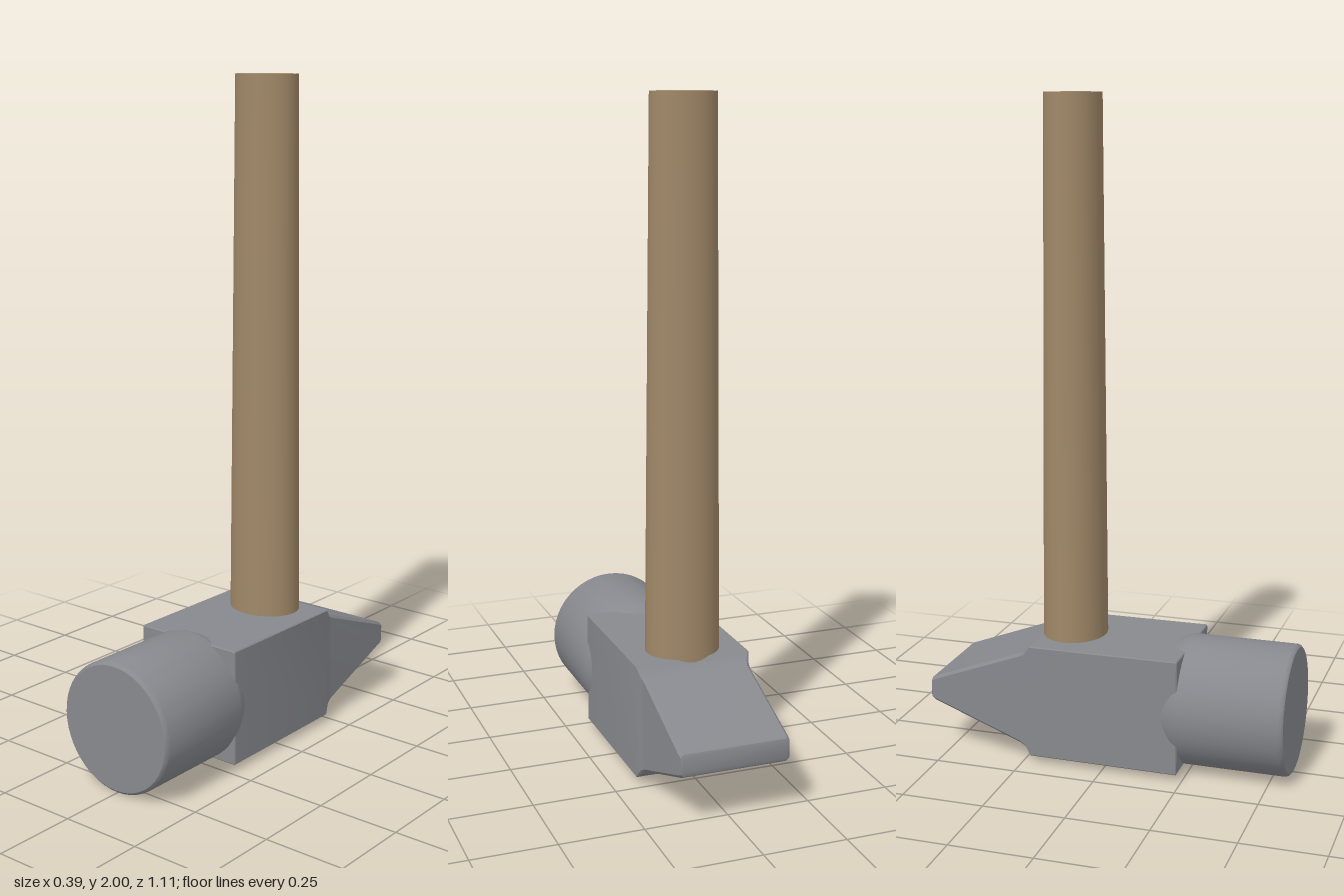
import * as THREE from 'three';
import { toCreasedNormals } from 'three/addons/utils/BufferGeometryUtils.js';

const CENTER_Y = 0.198;

// Lofts chamfered rectangles along z; sections run back to front as [z, halfWidth, halfHeight, chamfer]
function loftRectangles(sections) {
  const positions = [];
  const index = [];
  const n = 8;
  for (const [z, w, h, c] of sections) {
    const ring = [
      [w, -h + c], [w, h - c], [w - c, h], [-w + c, h],
      [-w, h - c], [-w, -h + c], [-w + c, -h], [w - c, -h],
    ];
    for (const [x, y] of ring) positions.push(x, y, z);
  }
  const last = (sections.length - 1) * n;
  for (let s = 0; s < last; s += n) {
    for (let i = 0; i < n; i++) {
      const j = (i + 1) % n;
      index.push(s + i, s + j, s + n + j, s + i, s + n + j, s + n + i);
    }
  }
  for (let i = 1; i < n - 1; i++) {
    index.push(0, i + 1, i, last, last + i, last + i + 1);
  }
  const geometry = new THREE.BufferGeometry();
  geometry.setAttribute('position', new THREE.Float32BufferAttribute(positions, 3));
  geometry.setIndex(index);
  return toCreasedNormals(geometry, 0.45);
}

export function createModel() {
  const steel = new THREE.MeshStandardMaterial({ color: 0x88898e });
  const wood = new THREE.MeshStandardMaterial({ color: 0xa08868 });
  const model = new THREE.Group();
  model.name = 'hammer';

  const head = new THREE.Group();
  head.name = 'head';
  head.position.y = CENTER_Y;
  model.add(head);

  // Square middle block running into the wedge-shaped peen
  const block = new THREE.Mesh(loftRectangles([
    [-0.555, 0.159, 0.025, 0.006],
    [-0.552, 0.164, 0.033, 0.008],
    [-0.543, 0.166, 0.039, 0.009],
    [-0.265, 0.166, 0.144, 0.009],
    [-0.245, 0.170, 0.153, 0.007],
    [-0.225, 0.178, 0.175, 0.003],
    [0.232, 0.178, 0.177, 0.003],
    [0.235, 0.175, 0.174, 0.003],
  ]), steel);
  block.name = 'blockAndPeen';
  head.add(block);

  // Round striking face with a softened rim and a flared neck
  const profile = [
    [0, 0.17], [0.174, 0.17], [0.177, 0.185], [0.184, 0.2], [0.192, 0.215],
    [0.197, 0.232], [0.197, 0.542], [0.195, 0.549], [0.188, 0.555], [0, 0.555],
  ].map(([r, z]) => new THREE.Vector2(r, z));
  const faceGeometry = toCreasedNormals(new THREE.LatheGeometry(profile, 48), 0.6);
  faceGeometry.rotateX(Math.PI / 2);
  const face = new THREE.Mesh(faceGeometry, steel);
  face.name = 'strikingFace';
  head.add(face);

  // Slightly tapered oval handle, seated inside the block
  const handleGeometry = new THREE.CylinderGeometry(0.097, 0.114, 1.75, 32, 1);
  handleGeometry.scale(1, 0.86, 1);
  handleGeometry.scale(1, 1 / 0.86, 0.865);
  const handle = new THREE.Mesh(handleGeometry, wood);
  handle.name = 'handle';
  handle.position.set(0, 1.125, -0.137);
  model.add(handle);

  return model;
}
